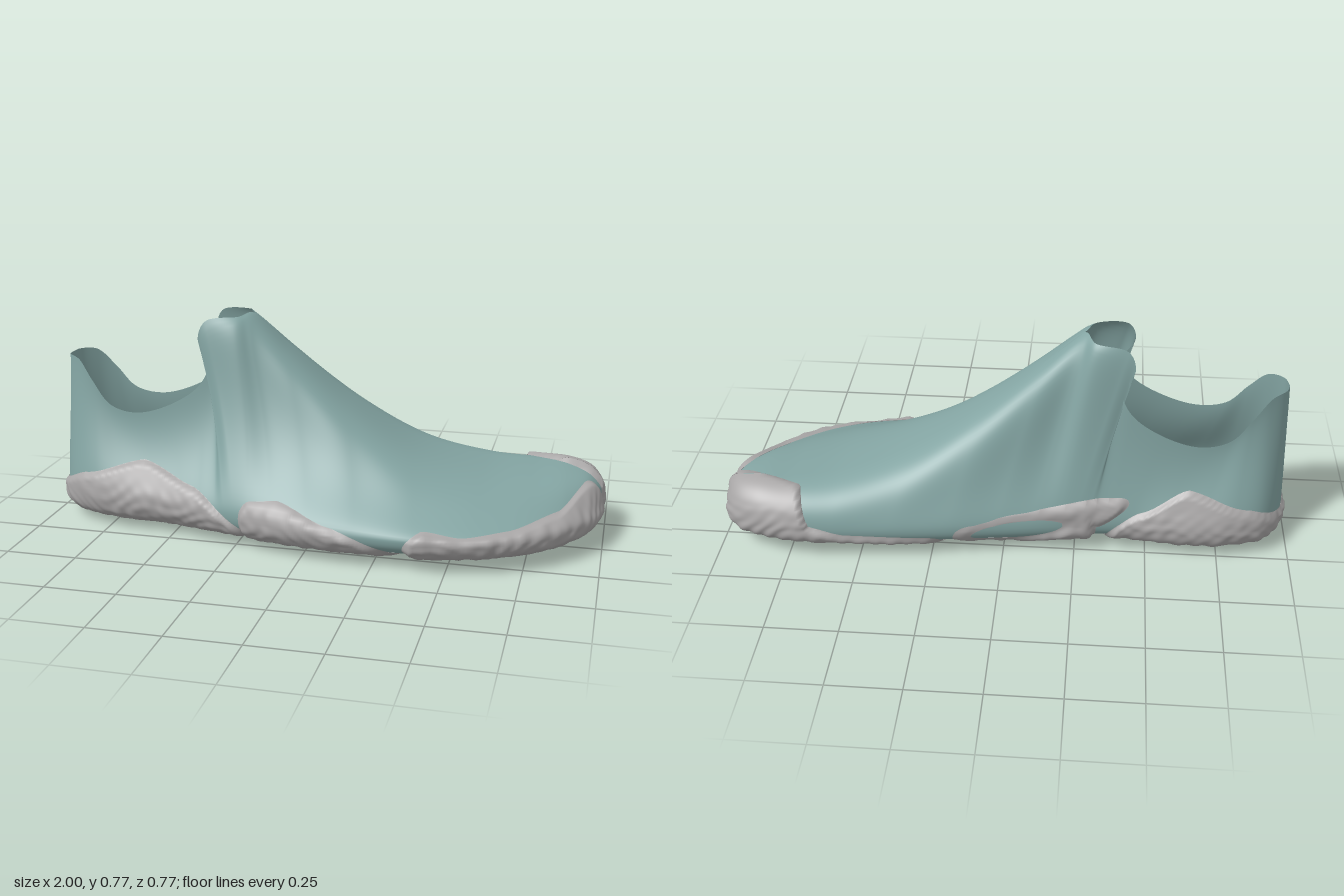
import * as THREE from 'three';
import { mergeVertices } from 'three/addons/utils/BufferGeometryUtils.js';

const ROWS = 300, COLS = 112;
const V3 = (x, y, z) => new THREE.Vector3(x, y, z);

// Lower stations, heel to toe: x, keel y, lateral z, medial z
const LOWER = [
  [-0.985, 0.1, -0.04, -0.04], [-0.965, 0.055, 0.045, -0.125], [-0.9, 0.026, 0.13, -0.21],
  [-0.8, 0.02, 0.18, -0.25], [-0.68, 0.018, 0.203, -0.262], [-0.55, 0.018, 0.215, -0.256],
  [-0.45, 0.018, 0.232, -0.243], [-0.38, 0.018, 0.25, -0.245], [-0.32, 0.018, 0.264, -0.25],
  [-0.28, 0.018, 0.275, -0.256], [-0.24, 0.018, 0.286, -0.263], [-0.18, 0.018, 0.303, -0.274],
  [-0.1, 0.018, 0.323, -0.288], [0.03, 0.019, 0.348, -0.308], [0.2, 0.022, 0.361, -0.335],
  [0.4, 0.025, 0.367, -0.358], [0.6, 0.03, 0.33, -0.371], [0.76, 0.038, 0.252, -0.368],
  [0.87, 0.048, 0.147, -0.346], [0.94, 0.062, 0.04, -0.308], [0.975, 0.085, -0.06, -0.258],
  [0.985, 0.12, -0.165, -0.165],
];
// Collar rim, then instep ridge: x, y, z, half width
const UPPER = [
  [-0.965, 0.583, -0.04, 0], [-0.95, 0.587, -0.04, 0.045], [-0.9, 0.578, -0.042, 0.085],
  [-0.84, 0.51, -0.042, 0.115], [-0.77, 0.43, -0.042, 0.13], [-0.67, 0.408, -0.042, 0.14],
  [-0.54, 0.445, -0.042, 0.14], [-0.43, 0.52, -0.043, 0.13], [-0.395, 0.6, -0.044, 0.118],
  [-0.435, 0.685, -0.045, 0.114], [-0.41, 0.748, -0.047, 0.102], [-0.3, 0.763, -0.05, 0.075],
  [-0.26, 0.765, -0.05, 0], [-0.12, 0.645, -0.06, 0], [0.1, 0.47, -0.08, 0],
  [0.34, 0.325, -0.12, 0], [0.57, 0.257, -0.18, 0], [0.74, 0.24, -0.22, 0],
  [0.86, 0.235, -0.23, 0], [0.93, 0.22, -0.215, 0], [0.96, 0.2, -0.19, 0], [0.985, 0.17, -0.165, 0],
];
// Section shape per station: crown roundness, lateral and medial fullness
const LATERAL = [0.4, 0.4, 0.4, 0.38, 0.35, 0.3, 0.23, 0.15, 0.1, 0.06, 0.03, 0.02, 0.02, 0.1, 0.33, 0.54];
const MEDIAL = [0.4, 0.4, 0.4, 0.38, 0.35, 0.3, 0.23, 0.17, 0.14, 0.1, 0.08, 0.08, 0.12, 0.3, 0.58, 0.8, 0.92];
const SHAPE = UPPER.map((_, i) => V3(THREE.MathUtils.clamp((i - 9) / 3, 0, 1), LATERAL[i] ?? 0.63, MEDIAL[i] ?? 0.95));

const curve = pts => new THREE.CatmullRomCurve3(pts, false, 'centripetal');
const EDGE_Y = 0.11;
const keel = curve(LOWER.map(([x, y, a, b]) => V3(x, y, (a + b) / 2)));
const edges = [2, 3].map(k => curve(LOWER.map(r => V3(r[0], Math.max(EDGE_Y, r[1] + 0.005), r[k]))));
const rims = [1, -1].map(s => curve(UPPER.map(([x, y, z, w]) => V3(x, y, z + s * w))));
const shape = new THREE.CatmullRomCurve3(SHAPE, false, 'catmullrom', 0.3);

// Point on a Bezier of any degree
function bezier(pts, t) {
  let p = pts;
  while (p.length > 1) p = p.slice(1).map((b, i) => p[i].clone().lerp(b, t));
  return p[0];
}

// One cross-section: lateral rim, under the keel, to the medial rim
function section(u) {
  const K = keel.getPoint(u), form = shape.getPoint(u), m = form.x;
  const sides = [form.y, form.z].map((q, s) => {
    const E = edges[s].getPoint(u), R = rims[s].getPoint(u);
    const mix = (fy, fz) => V3(E.x + (R.x - E.x) * fy, E.y + (R.y - E.y) * fy, R.z + (E.z - R.z) * fz);
    const under = [K, V3(K.x, K.y, K.z + 0.84 * (E.z - K.z)), V3(E.x, E.y - 0.7 * (E.y - K.y), E.z), E];
    const wall = [E, mix(0.14 + 0.1 * q, 1), mix(0.42, q), mix(0.75 + 0.25 * m, 0.05 + m * (0.53 + 0.28 * q)), R];
    return [under, wall];
  });
  return [...Array(COLS + 1)].map((_, j) => {
    const v = (2 * j) / COLS - 1, a = Math.abs(v), [under, wall] = sides[v < 0 ? 0 : 1];
    return a < 0.5 ? bezier(under, a * 2) : bezier(wall, a * 2 - 1);
  });
}

// Surface grid and its outward normals
function makeGrid() {
  const P = [...Array(ROWS + 1)].map((_, i) => section(i / ROWS));
  const N = P.map((row, i) => row.map((_, j) => {
    const du = P[Math.min(i + 1, ROWS)][j].clone().sub(P[Math.max(i - 1, 0)][j]);
    const dv = row[Math.min(j + 1, COLS)].clone().sub(row[Math.max(j - 1, 0)]);
    const n = dv.cross(du);
    if (i === 0 || i === ROWS) {
      n.z = 0;
      n.x = (i ? 1 : -1) * Math.max(Math.abs(n.x), 1e-6);
    }
    return n.normalize();
  }));
  return { P, N };
}

const smooth = t => THREE.MathUtils.smoothstep(t, 0, 1);
// Smooth interpolation through [position, value] pairs
function along(pairs, t) {
  if (t <= pairs[0][0]) return pairs[0][1];
  for (let i = 1; i < pairs.length; i++) {
    const [a, p] = pairs[i - 1], [b, q] = pairs[i];
    if (t <= b) {
      const k = (t - a) / (b - a);
      return p + (q - p) * (0.5 * k + 0.5 * smooth(k));
    }
  }
  return pairs[pairs.length - 1][1];
}
// Minimum with rounded corners
function softMin(...values) {
  return values.reduce((a, b) => {
    const h = Math.max(0.04 - Math.abs(a - b), 0);
    return Math.min(a, b) - (h * h) / 0.16;
  });
}

// Boundary lines between the sole pods
const heelFront = z => -0.28 + 0.32 * z;
const midBack = z => along([[-0.35, 0.22], [-0.15, 0.12], [0, -0.05], [0.2, -0.2], [0.35, -0.25]], z);
const foreBack = z => 0.5 - 0.4 * z;
const HEEL_OUTER = [[-1, 0.115], [-0.85, 0.185], [-0.62, 0.25], [-0.42, 0.185], [-0.2, 0.06]];
const HEEL_INNER = [[-1, 0.115], [-0.85, 0.185], [-0.64, 0.25], [-0.48, 0.16], [-0.33, 0.06]];
const MID_TOP = [[-0.27, 0.13], [-0.2, 0.172], [-0.09, 0.185], [0.1, 0.13], [0.32, 0.06]];
const TOE_TOP = [[0.2, 0.08], [0.55, 0.1], [0.67, 0.13], [0.73, 0.3], [0.8, 0.5]];
const FORE_TOP = [[0.33, 0.09], [0.42, 0.14], [0.55, 0.125], [0.7, 0.135], [0.85, 0.16], [0.93, 0.21], [1, 0.235]];
const ARCH_TOP = [[-0.46, 0.21], [-0.32, 0.21], [-0.04, 0.165], [0.12, 0.13], [0.28, 0.06]];

// Each pod is positive inside, about the distance to its edge
const PODS = {
  heelPod: ({ x, y, z }) => softMin(along(z > 0 ? HEEL_OUTER : HEEL_INNER, x) - y, heelFront(z) - x),
  ballAndBigToePod: ({ x, y, z }) => softMin(
    x - midBack(z), along(z > 0 ? MID_TOP : TOE_TOP, x) - y,
    Math.max(-0.16 - z, foreBack(z) - 0.035 - x),
    z < 0 && y > 0.15 ? -0.265 + 0.4 * (x - 0.72) - z + Math.max(0.235 - y, 0) : 1),
  outerToePod: ({ x, y, z }) => softMin(x - foreBack(z), z + 0.135, along(FORE_TOP, x) - y),
  archRingPod: ({ x, y, z }) => softMin(
    Math.max(x - heelFront(z) - 0.035, z < -0.1 ? y - along(HEEL_INNER, x) - 0.04 : -1),
    x + 0.45, midBack(z) - 0.03 - x, along(ARCH_TOP, x) - y,
    z < -0.1 ? (Math.hypot((x + 0.05) / 0.16, (y - 0.1 + 0.1 * (x + 0.05)) / 0.035) - 1) * 0.04 : 1),
};

function toGeometry(pos) {
  const g = new THREE.BufferGeometry();
  g.setAttribute('position', new THREE.Float32BufferAttribute(pos, 3));
  const merged = mergeVertices(g, 1e-5);
  merged.computeVertexNormals();
  return merged;
}

function eachTriangle(fn) {
  for (let i = 0; i < ROWS; i++) for (let j = 0; j < COLS; j++) {
    fn([[i, j], [i, j + 1], [i + 1, j]]);
    fn([[i + 1, j], [i, j + 1], [i + 1, j + 1]]);
  }
}

// Rough rubber texture, strongest underneath
function bumps({ x, y, z }) {
  const n = Math.sin(x * 49 + 3 * Math.sin(z * 27 + y * 31)) * Math.sin(z * 61 + y * 70 + 3 * Math.sin(x * 23))
    + 0.5 * Math.sin(x * 83 - z * 57 + y * 40) * Math.sin(z * 93 + x * 31 + y * 90);
  return 0.003 * n * (1 - smooth((y - 0.09) / 0.12));
}

// Raised pod: the part of the surface where the field is positive, pushed outward
function podGeometry({ P, N }, field) {
  const F = P.map(row => row.map(field)), pos = [];
  const raised = (p, n, f) => {
    const k = smooth(f / 0.022);
    return p.clone().addScaledVector(n, 0.001 + k * (0.014 + bumps(p)));
  };
  eachTriangle(tri => {
    const out = [];
    tri.forEach(([i, j], k) => {
      const [a, b] = tri[(k + 1) % 3], f = F[i][j], g = F[a][b];
      if (f > 0) out.push(raised(P[i][j], N[i][j], f));
      if (f > 0 !== g > 0) {
        const t = f / (f - g);
        out.push(raised(P[i][j].clone().lerp(P[a][b], t), N[i][j].clone().lerp(N[a][b], t), 0));
      }
    });
    for (let k = 2; k < out.length; k++)
      for (const p of [out[0], out[k - 1], out[k]]) pos.push(p.x, p.y, p.z);
  });
  return toGeometry(pos);
}

export function createModel() {
  const group = new THREE.Group();
  group.name = 'slipOnShoe';
  const fabric = new THREE.MeshStandardMaterial({ name: 'tealFabric', color: 0x84a5a3, side: THREE.DoubleSide });
  const rubber = new THREE.MeshStandardMaterial({ name: 'greyRubber', color: 0xa9a7a7, side: THREE.DoubleSide });
  const add = (name, geometry, material) => {
    const mesh = new THREE.Mesh(geometry, material);
    mesh.name = name;
    group.add(mesh);
  };
  const grid = makeGrid();

  // Sock-like upper with its open collar
  const pos = [];
  eachTriangle(tri => tri.forEach(([i, j]) => pos.push(...grid.P[i][j].toArray())));
  add('upper', toGeometry(pos), fabric);

  // Rubber sole pods
  for (const [name, field] of Object.entries(PODS)) add(name, podGeometry(grid, field), rubber);
  return group;
}
